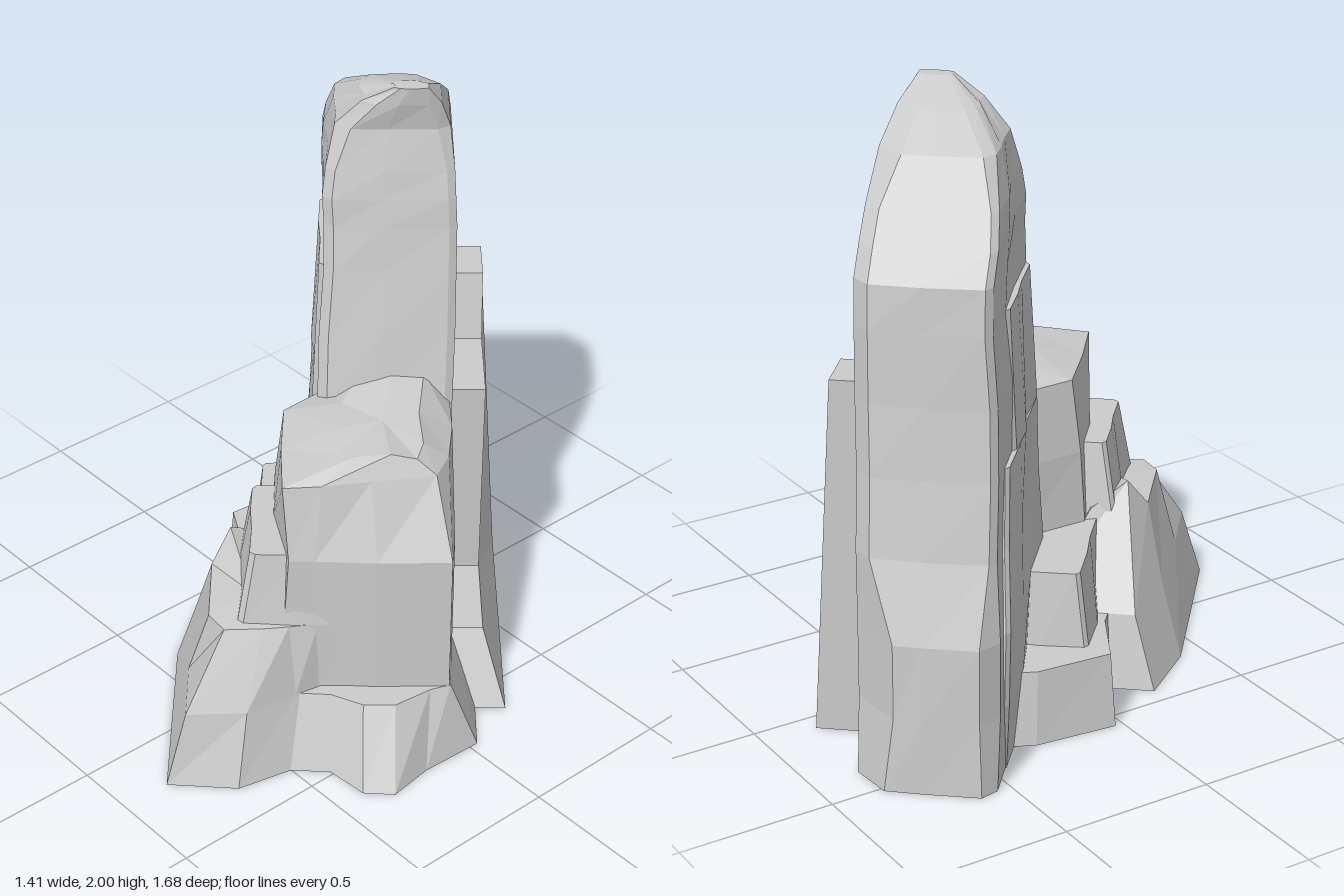
import * as THREE from 'three';

const material = new THREE.MeshStandardMaterial({ color: 0xcccccc, flatShading: true });

// The rock strata run diagonally: u is along the ridge, v across it.
const place = (u, y, v) => [0.755 * u - 0.656 * v, y, 0.656 * u + 0.755 * v];

// Joins stacked rings of [u, v, optional lift] corners and closes both ends.
function loft(name, levels) {
  const pos = [];
  const tri = (...pts) => pts.forEach((p) => pos.push(...p));
  const rings = levels.map(([y, pts]) => pts.map(([u, v, lift = 0]) => place(u, y + lift, v)));
  const n = rings[0].length;
  for (let k = 0; k < rings.length - 1; k++) {
    const a = rings[k], b = rings[k + 1];
    for (let i = 0; i < n; i++) {
      const j = (i + 1) % n;
      tri(a[i], b[i], a[j]);
      tri(a[j], b[i], b[j]);
    }
  }
  const centre = (ring) => [0, 1, 2].map((c) => ring.reduce((s, p) => s + p[c], 0) / n);
  const low = rings[0], top = rings[rings.length - 1];
  const cl = centre(low), ct = centre(top);
  for (let i = 0; i < n; i++) {
    const j = (i + 1) % n;
    tri(cl, low[i], low[j]);
    tri(ct, top[j], top[i]);
  }
  const geometry = new THREE.BufferGeometry();
  geometry.setAttribute('position', new THREE.Float32BufferAttribute(pos, 3));
  geometry.computeVertexNormals();
  const mesh = new THREE.Mesh(geometry, material);
  mesh.name = name;
  return mesh;
}

// Chamfered block outline with a slightly uneven front side.
function block(u0, u1, v0, v1, c, wave) {
  const w = u1 - u0, d = v1 - v0;
  const a = Math.min(c, w * 0.3), b = Math.min(c, d * 0.3);
  return [
    [u0 + a, v0], [u1 - a * 0.3, v0], [u1, v0 + b * 0.5],
    [u1 + wave, v0 + d * 0.55], [u1, v1 - b * 0.6], [u1 - a * 0.5, v1],
    [u0 + w * 0.62, v1 - wave], [u0 + w * 0.35, v1 + wave],
    [u0 + a * 0.5, v1], [u0, v1 - b * 0.4], [u0 - wave, v0 + d * 0.5], [u0, v0 + b],
  ];
}
const blocks = (rows, chamfer) => rows.map(([y, u0, u1, v0, v1, c = chamfer], i) =>
  [y, block(u0, u1, v0, v1, c, i % 2 ? 0.008 : 0.003)]);

export function createModel() {
  const group = new THREE.Group();

  // Tall spire, leaning in from the back end towards its peak
  group.add(loft('spire', blocks([
    [0, -0.935, 0.05, -0.39, 0.045, 0.1],
    [0.24, -0.925, 0.04, -0.39, 0.05, 0.13],
    [0.48, -0.92, 0.03, -0.39, 0.05, 0.13],
    [0.72, -0.84, 0.01, -0.39, 0.035],
    [0.96, -0.805, -0.01, -0.39, 0.035],
    [1.18, -0.78, -0.05, -0.395, 0.03],
    [1.4, -0.77, -0.085, -0.395, 0.015],
    [1.54, -0.755, -0.11, -0.395, 0.015],
    [1.63, -0.695, -0.12, -0.39, 0.02],
    [1.72, -0.615, -0.14, -0.385, 0.01],
    [1.85, -0.505, -0.165, -0.37, -0.018, 0.08],
    [1.94, -0.35, -0.15, -0.34, -0.1, 0.08],
    [2, -0.19, -0.14, -0.3, -0.196],
  ], 0.05)));

  // Thin stepped slab along the flat back
  const steps = [[-0.61, 1.18], [-0.44, 1.18], [-0.39, 0.96], [-0.09, 0.96],
    [-0.12, 0.24], [0.21, 0.24], [0.324, 0]];
  const profile = new THREE.Shape([[-0.59, 0], ...steps].map(([u, y]) => new THREE.Vector2(u, y)));
  const slab = new THREE.ExtrudeGeometry(profile, { depth: 0.22, bevelEnabled: false });
  const p = slab.attributes.position;
  for (let i = 0; i < p.count; i++) {
    const u = p.getX(i), y = p.getY(i), back = p.getZ(i) < 0.1;
    const v = back ? -0.573 + 0.075 * Math.min(1, y / 0.24) : -0.35;
    p.setXYZ(i, ...place(u, y, v));
  }
  slab.computeVertexNormals();
  const backSlab = new THREE.Mesh(slab, material);
  backSlab.name = 'backSlab';
  group.add(backSlab);

  // Broad shoulder in front of the spire, ridged on top
  const shoulderWall = [[-0.14, -0.38], [0.2, -0.39], [0.4, -0.39], [0.505, -0.38], [0.51, -0.15],
    [0.5, 0.04], [0.5, 0.12], [0.25, 0.17], [0.02, 0.17], [-0.14, 0], [-0.15, -0.3]];
  group.add(loft('shoulder', [
    [0, shoulderWall],
    [0.48, shoulderWall.map(([u, v]) => [u, v + (v > 0.1 ? 0.015 : 0)])],
    [0.72, shoulderWall],
    [0.96, [[-0.08, -0.38], [0.12, -0.385], [0.28, -0.37], [0.385, -0.33], [0.42, -0.13],
      [0.445, 0.02], [0.455, 0.138], [0.25, 0.145], [0.03, 0.14], [-0.1, 0], [-0.1, -0.3]]],
    [1.03, [[-0.05, -0.3, 0.02], [0.15, -0.28], [0.3, -0.29, -0.01], [0.37, -0.27, -0.02], [0.375, -0.19],
      [0.36, -0.08, -0.02], [0.32, -0.03, -0.03], [0.2, -0.04, -0.02], [0.05, -0.04, -0.03],
      [-0.06, -0.1], [-0.06, -0.2, 0.03]]],
  ]));

  // Flared foot under the shoulder
  group.add(loft('foot', [
    [0, [[0.1, -0.475], [0.5, -0.475], [0.63, -0.31], [0.745, -0.21], [0.738, -0.11], [0.64, -0.01], [0.63, 0.13], [0.1, 0.13]]],
    [0.24, [[0.1, -0.39], [0.5, -0.385], [0.525, -0.32], [0.6, -0.21], [0.6, -0.11], [0.55, -0.01], [0.54, 0.13], [0.1, 0.13]]],
  ]));

  // Ledge stepping down from the shoulder
  group.add(loft('ledge', blocks([
    [0, 0.02, 0.51, -0.1, 0.32],
    [0.48, 0.06, 0.5, -0.1, 0.28],
    [0.72, 0.1, 0.465, -0.1, 0.24],
  ], 0.03)));

  // Front wedge with a sloping top
  group.add(loft('frontWedge', [
    [0, [[-0.2, 0.05], [0.63, 0.05], [0.63, 0.115], [0.718, 0.277], [0.7, 0.503], [0.4, 0.502], [0.05, 0.5], [-0.198, 0.44]]],
    [0.24, [[-0.15, 0.05], [0.51, 0.03], [0.55, 0.1], [0.64, 0.25], [0.65, 0.44], [0.42, 0.44], [0.1, 0.43], [-0.15, 0.37]]],
    [0.48, [[0.05, 0.2, 0.03], [0.5, 0.03], [0.515, 0.12], [0.525, 0.2], [0.53, 0.32], [0.456, 0.37], [0.19, 0.37], [0.13, 0.31, 0.1]]],
  ]));

  // Stepped buttress beside the spire
  group.add(loft('lowButtress', [
    [0, [[-0.63, 0], [0, 0], [0, 0.31], [-0.2, 0.3], [-0.44, 0.345], [-0.597, 0.12]]],
    [0.24, [[-0.6, 0], [0, 0], [0, 0.29], [-0.2, 0.28], [-0.42, 0.325], [-0.57, 0.12]]],
  ]));
  group.add(loft('highButtress', blocks([
    [0, -0.41, 0.1, -0.05, 0.26],
    [0.24, -0.39, 0.1, -0.05, 0.25],
    [0.48, -0.37, 0.08, -0.05, 0.22],
  ], 0.03)));

  // Shallow stepped rib on the front face of the spire
  group.add(loft('rib', blocks([
    [0, -0.76, -0.1, -0.15, 0.05],
    [0.24, -0.8, -0.1, -0.15, 0.065],
    [0.48, -0.8, -0.1, -0.15, 0.07],
    [0.72, -0.73, -0.1, -0.15, 0.055],
    [0.96, -0.68, -0.1, -0.15, 0.05],
    [0.96, -0.55, -0.1, -0.15, 0.05],
    [1.4, -0.54, -0.12, -0.15, 0.03],
  ], 0.03)));

  return group;
}
